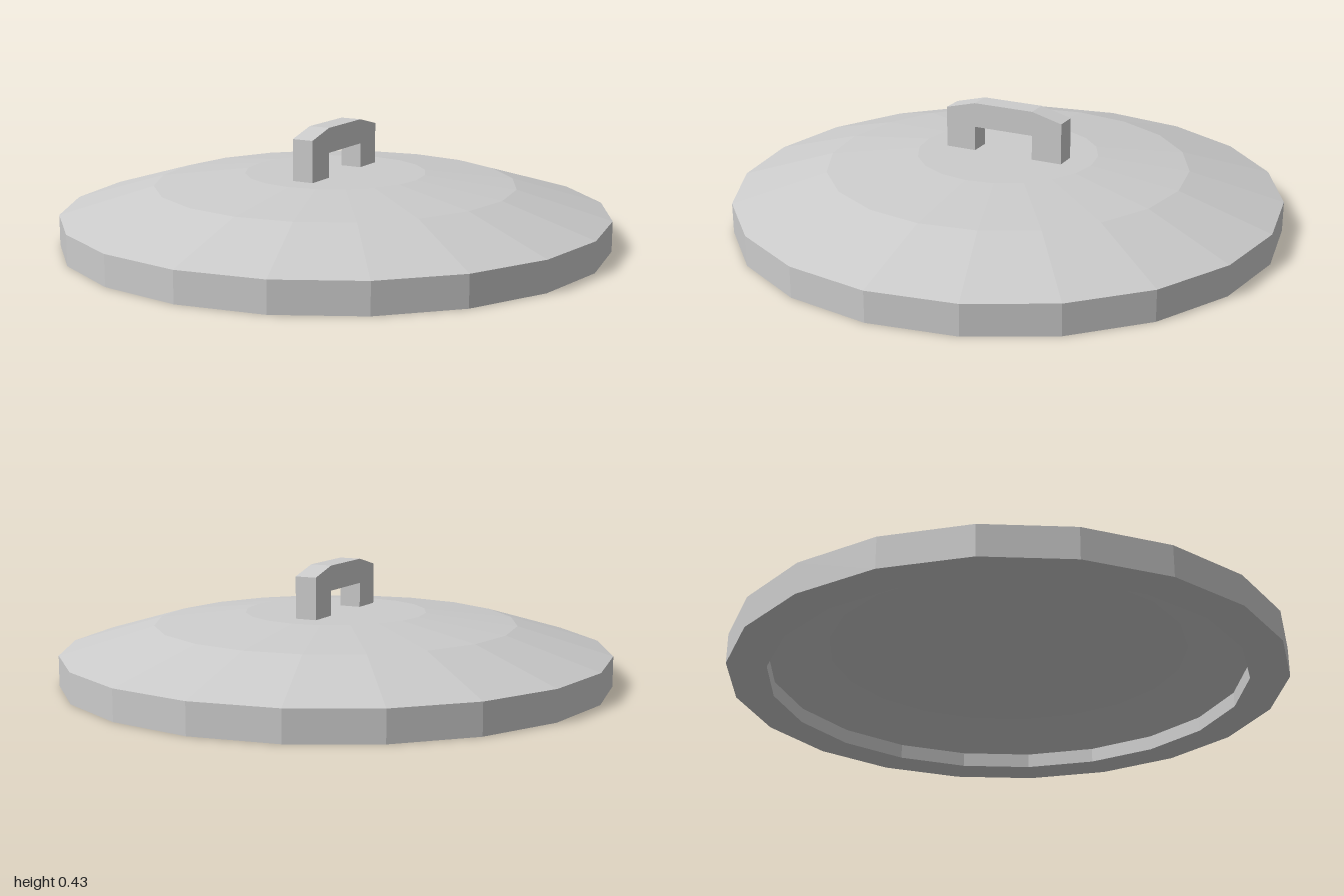
import * as THREE from 'three';

const material = new THREE.MeshStandardMaterial({ color: 0xcccccc, flatShading: true });

function addPart(group, name, geometry) {
  const mesh = new THREE.Mesh(geometry, material);
  mesh.name = name;
  group.add(mesh);
  return mesh;
}

const toPoints = (pairs) => pairs.map(([a, b]) => new THREE.Vector2(a, b));

export function createModel() {
  const group = new THREE.Group();
  group.name = 'lid';

  // Hollow domed cover: underside from the centre out, around the rim, back over the top
  const coverProfile = toPoints([
    [0, 0.17], [0.33, 0.17], [0.65, 0.13], [0.86, 0.055], [0.86, 0],
    [1, 0], [1, 0.11], [0.66, 0.21], [0.33, 0.25], [0, 0.25],
  ]);
  addPart(group, 'cover', new THREE.LatheGeometry(coverProfile, 20));

  // Bridge handle: side outline extruded across its width
  const width = 0.08;
  const outline = new THREE.Shape(toPoints([
    [-0.23, 0.25], [-0.115, 0.25], [-0.115, 0.34], [0.115, 0.34], [0.115, 0.25],
    [0.23, 0.25], [0.23, 0.4], [0.115, 0.43], [-0.115, 0.43], [-0.23, 0.4],
  ]));
  const handle = new THREE.ExtrudeGeometry(outline, { depth: width, bevelEnabled: false });
  handle.translate(0, 0, -width / 2).rotateY(Math.PI / 2);
  addPart(group, 'handle', handle);

  return group;
}
